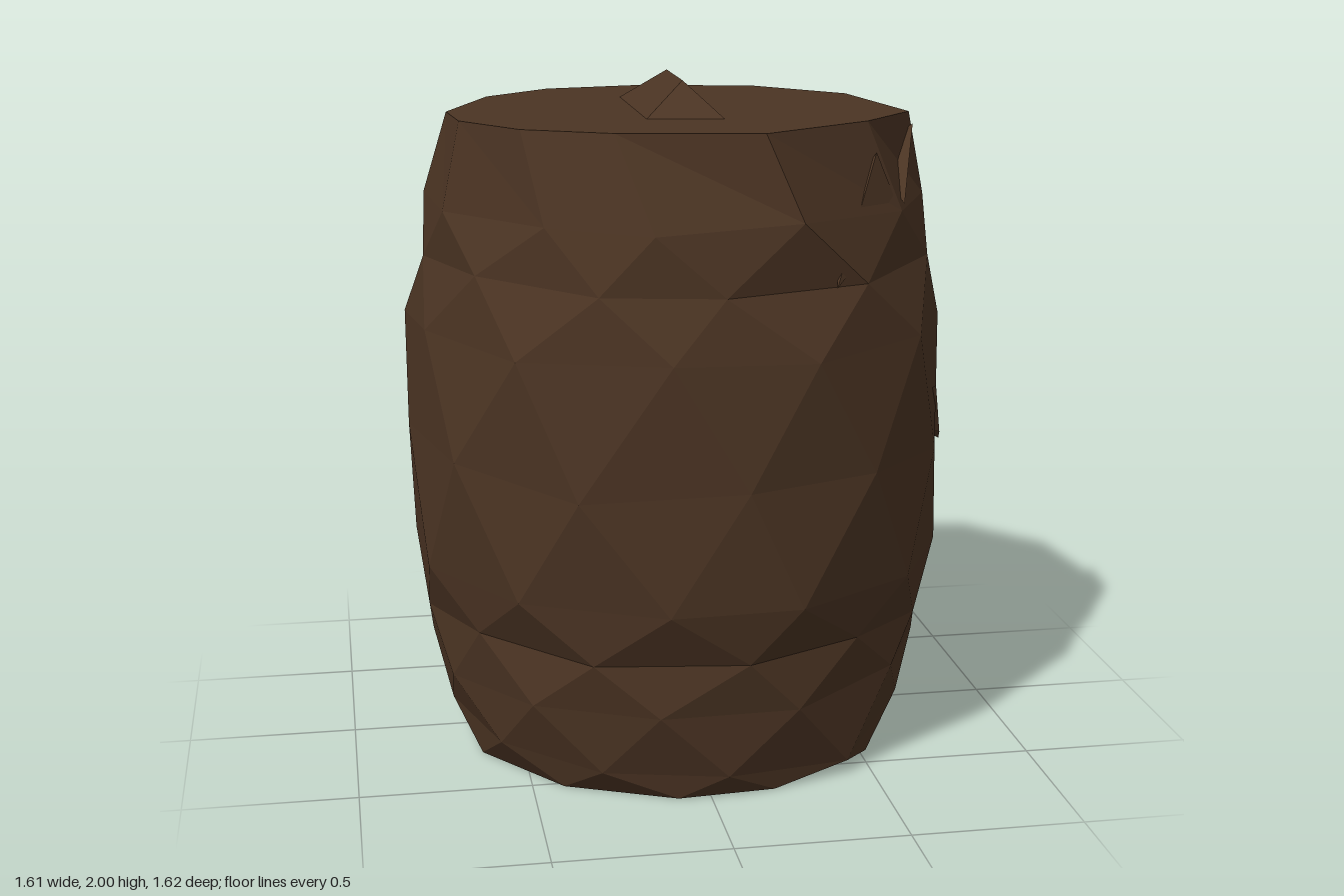
import * as THREE from 'three';

// Repeatable jitter in -1..1
function seeded(seed) {
  let s = seed;
  return () => {
    s = (s * 16807) % 2147483647;
    return (s / 2147483647) * 2 - 1;
  };
}

function facetedMesh(name, triangles, material) {
  const geometry = new THREE.BufferGeometry().setFromPoints(triangles.flat());
  geometry.computeVertexNormals();
  const mesh = new THREE.Mesh(geometry, material);
  mesh.name = name;
  return mesh;
}

const v = (x, y, z) => new THREE.Vector3(x, y, z);

export function createModel() {
  const group = new THREE.Group();
  group.name = 'hewnBarrel';
  const brown = new THREE.MeshStandardMaterial({ color: 0x4b3423, flatShading: true });
  brown.name = 'darkBrown';

  const sides = 12;
  const random = seeded(4127);

  // Rough cut outline of the lid, counterclockwise seen from above
  const lidOutline = [
    [0.14, 0.67], [0.48, 0.43], [0.66, 0.21], [0.6, -0.31], [0.36, -0.6], [0, -0.68],
    [-0.31, -0.61], [-0.52, -0.4], [-0.67, 0], [-0.65, 0.24], [-0.5, 0.47], [-0.26, 0.6],
  ];

  // Barrel profile: height, radius, height jitter
  const profile = [
    [0, 0.66, 0], [0.09, 0.705, 0.05], [0.28, 0.745, 0.03], [0.43, 0.755, 0.02],
    [0.6, 0.805, 0.01], [0.95, 0.817, 0.04], [1.3, 0.805, 0.01],
    [1.49, 0.76, 0.02], [1.66, 0.74, 0.025],
  ];
  const rings = profile.map(([y, r, dy], row) =>
    Array.from({ length: sides }, (_, i) => {
      const turn = i + 0.65 + (row % 2 ? 0.5 : 0) + random() * 0.1;
      const angle = (turn / sides) * Math.PI * 2;
      const radius = r + random() * 0.01;
      return v(Math.sin(angle) * radius, y + random() * dy, Math.cos(angle) * radius);
    }));
  rings.push(lidOutline.map(([x, z]) => v(x, 1.905, z)).map((p, i, all) => all[(i + 1) % sides]));
  // Line the lid corners up with the staggered ring below
  const lid = rings[rings.length - 1];
  lid.unshift(lid.pop());

  // Staggered rings joined by triangles
  const wall = [];
  for (let row = 0; row < rings.length - 1; row++) {
    const low = rings[row], high = rings[row + 1];
    for (let i = 0; i < sides; i++) {
      const j = (i + 1) % sides;
      if (row % 2 === 0) wall.push([low[i], low[j], high[i]], [low[j], high[j], high[i]]);
      else wall.push([low[i], high[j], high[i]], [low[i], low[j], high[j]]);
    }
  }
  group.add(facetedMesh('barrelWall', wall, brown));

  // Flat lid and base
  const top = [], base = [];
  for (let i = 0; i < sides; i++) {
    const j = (i + 1) % sides;
    top.push([v(0, 1.905, 0), lid[i], lid[j]]);
    base.push([v(0, 0, 0), rings[0][j], rings[0][i]]);
  }
  group.add(facetedMesh('lid', top, brown), facetedMesh('base', base, brown));

  // Hipped ridge on the lid
  const foot = [v(-0.13, 1.9, 0.29), v(0.1, 1.9, 0.32), v(0.12, 1.9, -0.31), v(-0.12, 1.9, -0.33)];
  const front = v(0, 2, 0.16), back = v(0.01, 2, -0.18);
  group.add(facetedMesh('lidRidge', [
    [foot[0], foot[1], front],
    [foot[1], foot[2], back], [foot[1], back, front],
    [foot[2], foot[3], back],
    [foot[3], foot[0], front], [foot[3], front, back],
  ], brown));

  // Small raised splinters: a triangle running back to a point inside the wall
  function addSplinter(name, a, b, c) {
    const inner = a.clone().add(b).add(c).divideScalar(3).multiply(v(0.82, 1, 0.82));
    group.add(facetedMesh(name, [[a, b, c], [b, a, inner], [c, b, inner], [a, c, inner]], brown));
  }
  addSplinter('sideSplinter', v(0.72, 1.12, 0.37), v(0.765, 0.95, 0.27), v(0.808, 0.89, 0.12));
  addSplinter('upperSplinter', v(0.67, 1.87, 0.22), v(0.59, 1.67, 0.44), v(0.73, 1.81, -0.03));
  addSplinter('frontSplinter', v(0.57, 1.66, 0.45), v(0.5, 1.82, 0.46), v(0.34, 1.48, 0.68));
  addSplinter('backSplinter', v(-0.3, 1.66, -0.66), v(0.23, 1.66, -0.7), v(-0.03, 1.48, -0.75));

  return group;
}
